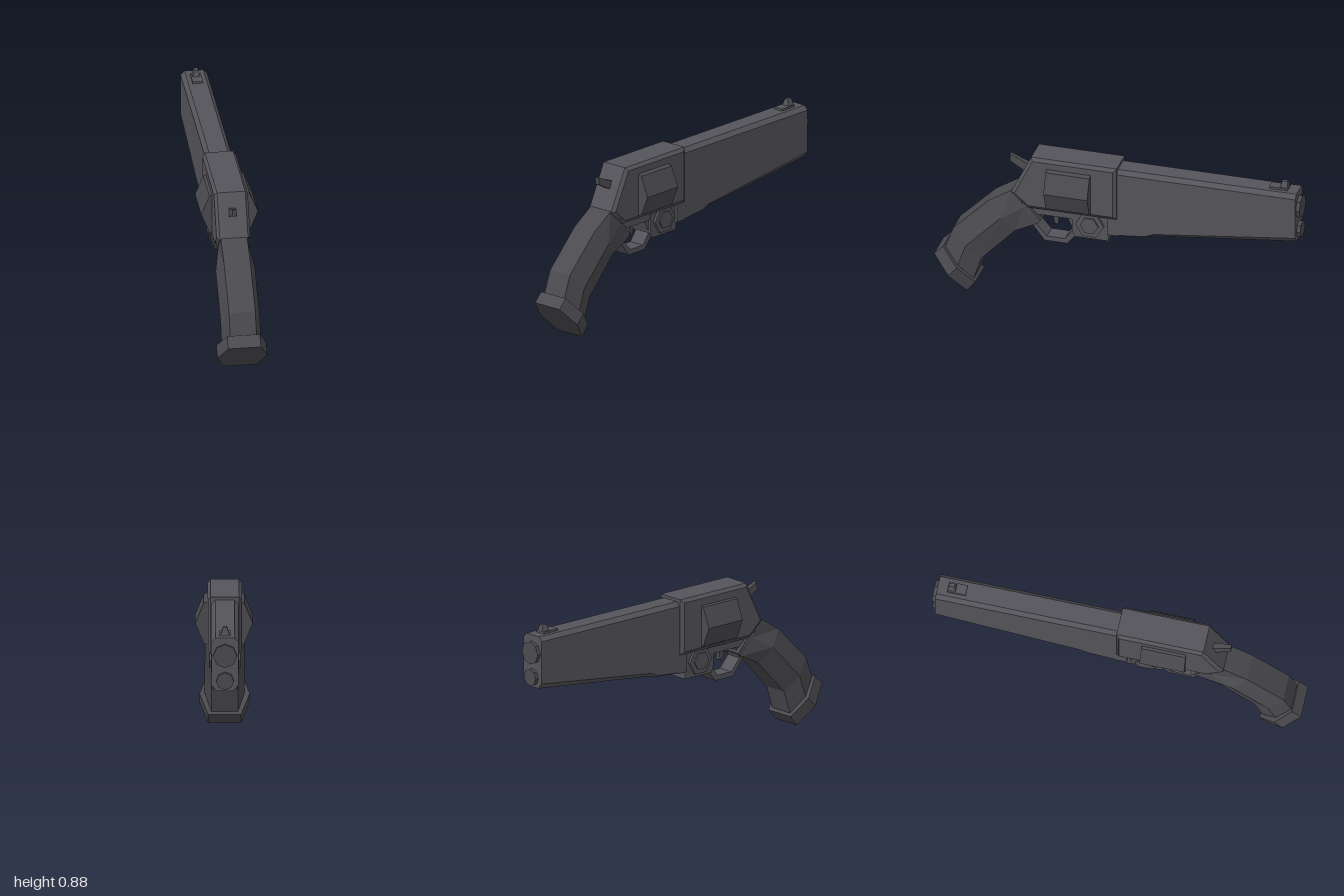
import * as THREE from 'three';

// Faceted copy of a geometry
function facet(geo) {
  const g = geo.index ? geo.toNonIndexed() : geo;
  g.computeVertexNormals();
  return g;
}

// Joins matching [x, y, z] loops into a flat-faced solid, wound outwards
function loft(sections, capStart = true) {
  const n = sections[0].length, tris = [];
  for (let s = 0; s < sections.length - 1; s++) {
    for (let i = 0; i < n; i++) {
      const j = (i + 1) % n, a = sections[s], b = sections[s + 1];
      tris.push([a[i], a[j], b[j]], [a[i], b[j], b[i]]);
    }
  }
  const first = sections[0], last = sections[sections.length - 1];
  for (let i = 1; i < n - 1; i++) {
    if (capStart) tris.push([first[0], first[i + 1], first[i]]);
    tris.push([last[0], last[i], last[i + 1]]);
  }
  const v = (p) => new THREE.Vector3(...p);
  const volume = tris.reduce((sum, [a, b, c]) => sum + v(a).dot(v(b).cross(v(c))), 0);
  if (volume < 0) tris.forEach((t) => t.reverse());
  const geo = new THREE.BufferGeometry();
  geo.setAttribute('position', new THREE.Float32BufferAttribute(tris.flat(2), 3));
  return facet(geo);
}

// Side profile of [z, y] points given a width across x
function plate(profile, half, hole, bevel) {
  const toPoints = (list) => list.map(([z, y]) => new THREE.Vector2(z, y));
  const shape = new THREE.Shape(toPoints(profile));
  if (hole) shape.holes.push(new THREE.Path(toPoints(hole)));
  const thick = bevel ? bevel.thickness : 0;
  const depth = 2 * (half - thick);
  const geo = new THREE.ExtrudeGeometry(shape, {
    depth, bevelEnabled: !!bevel, bevelSegments: 1, bevelThickness: thick,
    bevelSize: bevel ? bevel.size : 0, bevelOffset: bevel ? -bevel.size : 0,
  });
  geo.translate(0, 0, -depth / 2).rotateY(-Math.PI / 2);
  return facet(geo);
}

// Hexagonal cross-section between a back point and a front point [z, y]
function hexSection(back, front, edge, mid) {
  const mz = (back[0] + front[0]) / 2, my = (back[1] + front[1]) / 2;
  return [
    [-edge, back[1], back[0]], [edge, back[1], back[0]], [mid, my, mz],
    [edge, front[1], front[0]], [-edge, front[1], front[0]], [-mid, my, mz],
  ];
}

// Chamfered barrel cross-section at one z
function barrelSection(z, bottom, chamferX, chamferY) {
  const right = [[0.05, 0.835], [0.071, 0.812], [0.071, bottom + chamferY], [0.071 - chamferX, bottom]];
  const left = right.map(([x, y]) => [-x, y]).reverse();
  return [...right, ...left].map(([x, y]) => [x, y, z]);
}

export function createModel() {
  const root = new THREE.Group();
  root.name = 'revolver';
  const gunmetal = new THREE.MeshStandardMaterial({ color: 0x55545a, side: THREE.DoubleSide });
  gunmetal.name = 'gunmetal';
  const darkSteel = new THREE.MeshStandardMaterial({ color: 0x4b4a4f });
  darkSteel.name = 'darkSteel';

  const add = (name, geo, mat = gunmetal, x = -0.005, y = 0, z = 0) => {
    const mesh = new THREE.Mesh(geo, mat);
    mesh.name = name;
    mesh.position.set(x, y, z);
    root.add(mesh);
    return mesh;
  };
  const box = (w, h, d) => new THREE.BoxGeometry(w, h, d);

  // Slab barrel, tapering underneath toward the muzzle
  add('barrel', loft([
    barrelSection(0.02, 0.443, 0.003, 0.003),
    barrelSection(-0.15, 0.455, 0.008, 0.008),
    barrelSection(-0.2, 0.462, 0.025, 0.022),
    barrelSection(-0.98, 0.55, 0.025, 0.03),
  ]));
  add('barrelHeel', box(0.142, 0.11, 0.06), gunmetal, -0.005, 0.498, 0.025);

  // Muzzle discs
  for (const [name, y, r] of [['upperMuzzle', 0.74, 0.063], ['lowerMuzzle', 0.605, 0.047]]) {
    const disc = new THREE.CylinderGeometry(r, r, 0.03, 8).rotateX(Math.PI / 2);
    add(name, facet(disc), darkSteel, -0.005, y, -0.985);
  }

  // Front sight
  add('sightBase', box(0.056, 0.014, 0.1), gunmetal, -0.005, 0.839, -0.875);
  const blade = (y, half, z0, z1) => [[-half, y, z0], [half, y, z0], [half, y, z1], [-half, y, z1]];
  add('sightBlade', loft([blade(0.84, 0.022, -0.925, -0.88), blade(0.88, 0.01, -0.92, -0.89)]));

  // Frame with a window on each side
  const windowLoop = [[0.44, 0.805], [0.03, 0.805], [0.03, 0.59], [0.5, 0.59]];
  const innerLoop = [[0.385, 0.8], [0.15, 0.8], [0.15, 0.58], [0.385, 0.58]];
  add('frame', plate(
    [[0, 0.85], [0, 0.545], [0.49, 0.545], [0.58, 0.625], [0.47, 0.85]],
    0.09, windowLoop, { size: 0.018, thickness: 0.015 },
  ));
  for (const side of [-1, 1]) {
    const loop = (points, x) => points.map(([z, y]) => [side * x, y, z]);
    const recess = loft([loop(windowLoop, 0.076), loop(innerLoop, 0.04)], false);
    // Pocket faces look outward from the frame
    const pos = recess.attributes.position;
    for (let i = 0; i < pos.count; i += 3) {
      const a = new THREE.Vector3().fromBufferAttribute(pos, i);
      const b = new THREE.Vector3().fromBufferAttribute(pos, i + 1);
      const c = new THREE.Vector3().fromBufferAttribute(pos, i + 2);
      if (b.clone().sub(a).cross(c.clone().sub(a)).x * side < 0) {
        pos.setXYZ(i, c.x, c.y, c.z);
        pos.setXYZ(i + 2, a.x, a.y, a.z);
      }
    }
    recess.computeVertexNormals();
    add(side > 0 ? 'leftRecess' : 'rightRecess', recess);
  }

  // Eight-sided cylinder
  const drum = new THREE.CylinderGeometry(0.152, 0.152, 0.24, 8).rotateX(Math.PI / 2);
  add('cylinder', facet(drum), darkSteel, -0.001, 0.68, 0.26);

  // Lower frame and hinge block with a hexagonal bolt on each side
  add('lowerFrame', plate([[0.05, 0.56], [0.05, 0.5], [0.44, 0.5], [0.5, 0.56]], 0.055));
  add('hingeBlock', plate([[0.05, 0.56], [0.05, 0.4], [0.235, 0.4], [0.25, 0.43], [0.25, 0.56]], 0.06));
  for (const [name, r, half] of [['boltOuter', 0.078, 0.074], ['boltInner', 0.05, 0.082]]) {
    const hex = [0, 1, 2, 3, 4, 5].map((i) => [
      0.15 + r * Math.cos(i * Math.PI / 3), 0.485 + r * Math.sin(i * Math.PI / 3),
    ]);
    add(name, plate(hex, half));
  }

  // Trigger guard and trigger
  add('triggerGuard', plate(
    [[0.49, 0.53], [0.48, 0.44], [0.405, 0.343], [0.28, 0.343], [0.232, 0.4], [0.23, 0.53]],
    0.045,
    [[0.42, 0.502], [0.45, 0.435], [0.392, 0.37], [0.292, 0.37], [0.248, 0.43], [0.28, 0.502]],
  ));
  add('trigger', plate([[0.37, 0.51], [0.362, 0.45], [0.35, 0.432], [0.337, 0.44], [0.335, 0.51]], 0.015), darkSteel);

  // Hammer spur
  const spur = (z, y0, y1, half) => [
    [-half, y0, z], [half, y0, z], [half * 0.75, y1, z], [-half * 0.75, y1, z],
  ];
  add('hammer', loft([spur(0.48, 0.715, 0.765, 0.022), spur(0.53, 0.735, 0.782, 0.02), spur(0.605, 0.775, 0.815, 0.014)]), darkSteel);

  // Curved grip and flared butt cap
  add('grip', loft([
    hexSection([0.56, 0.638], [0.42, 0.47], 0.07, 0.072),
    hexSection([0.58, 0.63], [0.44, 0.45], 0.07, 0.076),
    hexSection([0.705, 0.55], [0.56, 0.39], 0.07, 0.105),
    hexSection([0.9, 0.355], [0.745, 0.195], 0.07, 0.105),
    hexSection([0.95, 0.22], [0.79, 0.06], 0.07, 0.105),
  ]), darkSteel);
  add('buttCap', loft([
    hexSection([0.95, 0.245], [0.775, 0.055], 0.087, 0.133),
    hexSection([1.0, 0.195], [0.82, 0.0], 0.087, 0.133),
  ]), darkSteel);

  return root;
}
